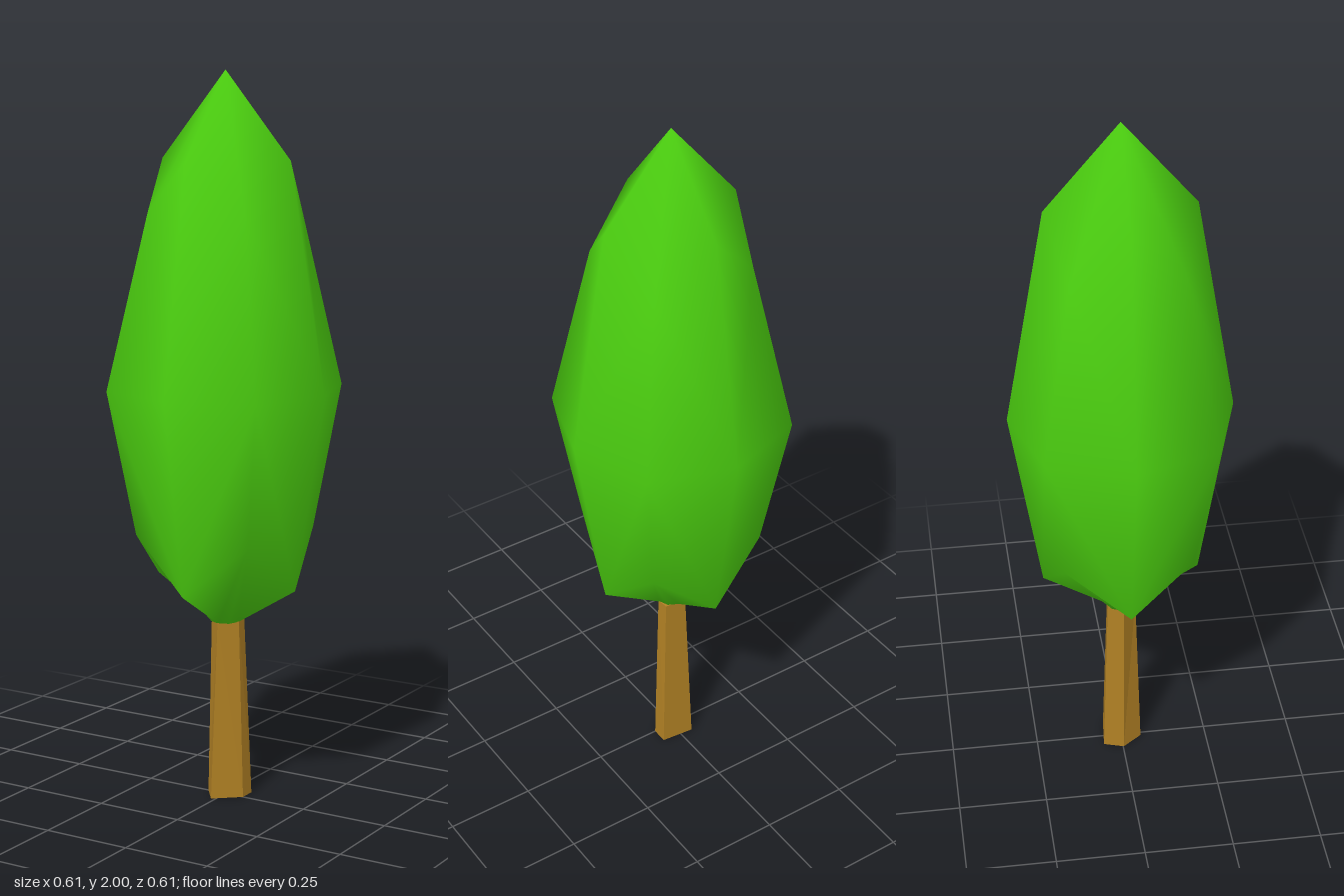
import * as THREE from 'three';

// Skins a stack of matching rings (bottom to top) and closes both ends at a centre point
function loft(rings, bottomY, topY) {
  const n = rings[0].length;
  const positions = rings.flat(2);
  const index = [];
  const bottom = rings.length * n, top = bottom + 1;
  positions.push(0, bottomY, 0, 0, topY, 0);
  for (let i = 0; i < n; i++) {
    const j = (i + 1) % n;
    for (let r = 0; r < rings.length - 1; r++) {
      const a = r * n + i, b = r * n + j;
      const c = a + n, d = b + n;
      // mirror the split on alternate sides so the crown stays symmetric
      if (i % 2) index.push(a, c, b, b, c, d);
      else index.push(a, d, b, a, c, d);
    }
    const last = (rings.length - 1) * n;
    index.push(bottom, i, j, top, last + j, last + i);
  }
  const geometry = new THREE.BufferGeometry();
  geometry.setAttribute('position', new THREE.Float32BufferAttribute(positions, 3));
  geometry.setIndex(index);
  geometry.computeVertexNormals();
  return geometry;
}

// Eight-sided ring whose corner points differ from its axis points in radius and height
function crownRing(axisRadius, axisY, cornerRadius, cornerY) {
  return Array.from({ length: 8 }, (_, i) => {
    const angle = i * Math.PI / 4;
    const r = i % 2 ? cornerRadius : axisRadius;
    return [r * Math.cos(angle), i % 2 ? cornerY : axisY, r * Math.sin(angle)];
  });
}

export function createModel() {
  const leafGreen = new THREE.MeshStandardMaterial({ color: 0x4cd010 });
  leafGreen.name = 'leafGreen';
  const barkBrown = new THREE.MeshStandardMaterial({ color: 0xb08024, flatShading: true });
  barkBrown.name = 'barkBrown';

  const tree = new THREE.Group();
  tree.name = 'tree';

  // Smooth-shaded faceted crown
  const crown = new THREE.Mesh(loft([
    crownRing(0.04, 0.5, 0.04, 0.5),
    crownRing(0.22, 0.61, 0.25, 0.755),
    crownRing(0.307, 1.15, 0.328, 1.15),
    crownRing(0.2, 1.765, 0.213, 1.625),
  ], 0.5, 2), leafGreen);
  crown.name = 'crown';
  tree.add(crown);

  // Irregular five-sided tapering trunk
  const foot = [[0.057, 0], [-0.012, 0.058], [-0.055, 0.002], [-0.037, -0.055], [0.057, -0.046]];
  const neck = [[0.043, 0], [0, 0.042], [-0.042, 0.004], [-0.022, -0.04], [0.04, -0.034]];
  const level = (outline, y) => outline.map(([x, z]) => [x, y, z]);
  const trunk = new THREE.Mesh(loft([level(foot, 0), level(neck, 0.505)], 0, 0.505), barkBrown);
  trunk.name = 'trunk';
  tree.add(trunk);

  return tree;
}
